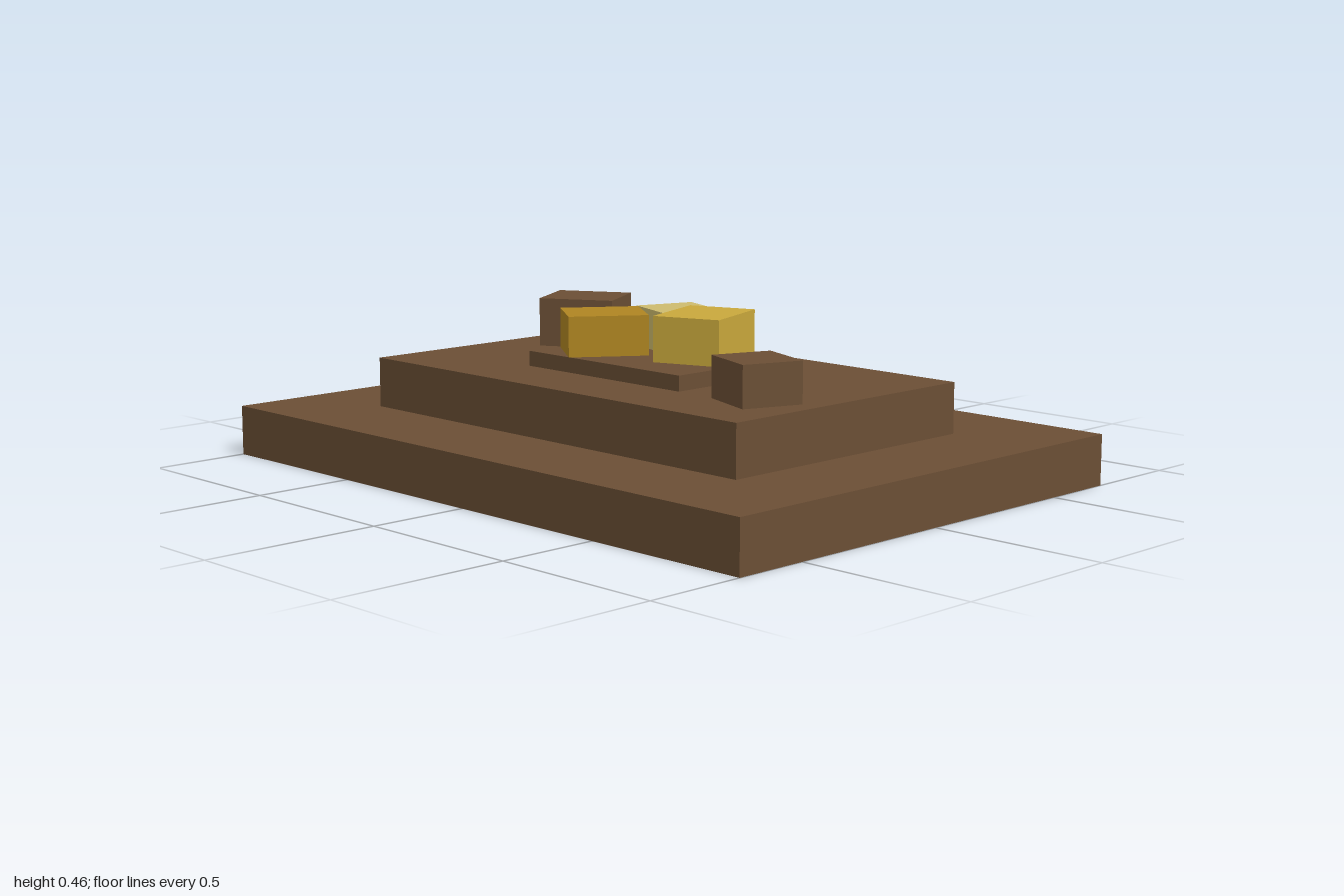
import * as THREE from 'three';

const material = (name, color) => {
  const m = new THREE.MeshStandardMaterial({ color });
  m.name = name;
  return m;
};

export function createModel() {
  const group = new THREE.Group();
  const brown = material('brown', 0x6b4f35);
  const yellow = material('yellow gold', 0xc9a83c);
  const amber = material('dark gold', 0xaf8522);
  const pale = material('pale gold', 0xcdbb6e);

  // Box standing on height y, turned about the vertical by an angle in degrees
  const block = (name, mat, [w, h, d], [x, y, z], angle = 0) => {
    const mesh = new THREE.Mesh(new THREE.BoxGeometry(w, h, d), mat);
    mesh.name = name;
    mesh.position.set(x, y + h / 2, z);
    mesh.rotation.y = THREE.MathUtils.degToRad(angle);
    group.add(mesh);
  };

  // Stepped mound
  block('baseTier', brown, [2, 0.143, 1.428], [0, 0, 0]);
  block('middleTier', brown, [1.428, 0.143, 0.856], [0, 0.143, 0]);
  block('topTier', brown, [0.6, 0.043, 0.428], [0, 0.286, 0]);

  // Loose rocks on the middle tier
  block('largeRock', brown, [0.226, 0.143, 0.198], [-0.515, 0.286, -0.2], 30);
  block('smallRock', brown, [0.182, 0.114, 0.172], [0.542, 0.286, 0.172], -20);

  // Nuggets on the top tier
  block('darkNugget', amber, [0.19, 0.114, 0.225], [-0.143, 0.329, 0.071], -35);
  block('paleNugget', pale, [0.206, 0.114, 0.175], [-0.043, 0.329, -0.13], -19);
  block('yellowNugget', yellow, [0.198, 0.128, 0.243], [0.143, 0.329, -0.041], 20);

  return group;
}
